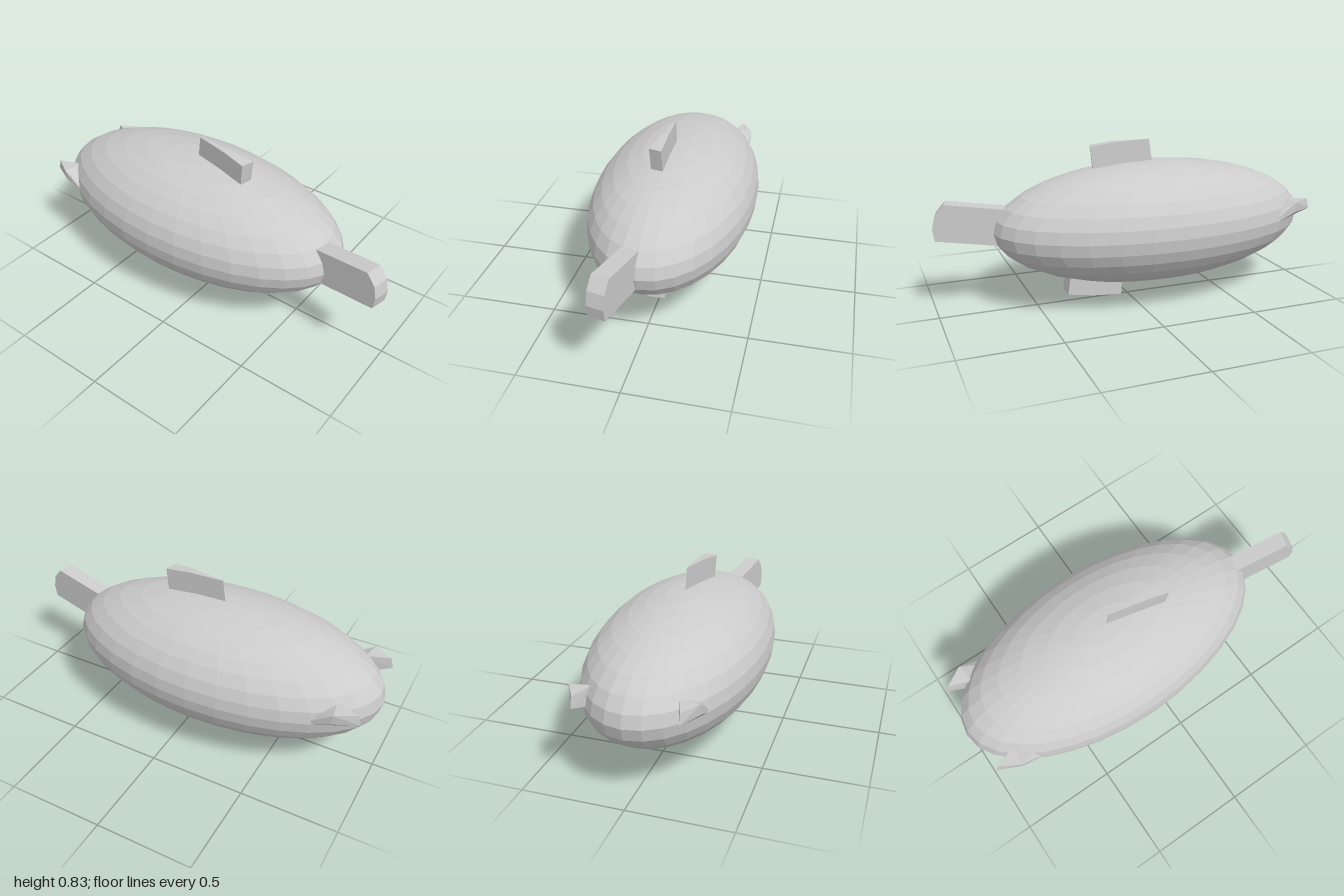
import * as THREE from 'three';
import { ConvexGeometry } from 'three/addons/geometries/ConvexGeometry.js';

export function createModel() {
  const group = new THREE.Group();
  const material = new THREE.MeshStandardMaterial({ color: 0xcccccc, flatShading: true });

  const add = (name, geometry) => {
    const mesh = new THREE.Mesh(geometry, material);
    mesh.name = name;
    group.add(mesh);
    return mesh;
  };
  // faceted solid block from its corners
  const block = (name, corners) =>
    add(name, new ConvexGeometry(corners.map((c) => new THREE.Vector3(...c))));

  // egg-shaped body
  const body = add('body', new THREE.SphereGeometry(1, 32, 16));
  body.geometry.scale(0.432, 0.315, 0.855);
  body.geometry.translate(0, 0.405, -0.145);

  // snout: side profile [z, y] swept across its width, veering to one side
  const profile = [[0.45, 0.497], [0.94, 0.565], [0.985, 0.51], [1.0, 0.443], [0.99, 0.382], [0.45, 0.307]];
  const snout = [];
  for (const [z, y] of profile) {
    const x = -0.055 - (z - 0.99) * 0.16;
    snout.push([x, y, z], [x - 0.085, y, z - 0.02]);
  }
  block('snout', snout);

  // wedge-shaped top fin, thin towards the rear
  block('topFin', [
    [-0.062, 0.66, 0.165], [0, 0.66, 0.18], [-0.07, 0.81, 0.18], [-0.004, 0.81, 0.2],
    [-0.045, 0.826, 0.06], [-0.004, 0.826, 0.06],
    [0, 0.66, -0.15], [-0.004, 0.832, -0.125], [-0.008, 0.832, -0.125],
  ]);

  // keel: cross-sections [z, half width, bottom y, top y] narrowing backwards
  const keel = [];
  for (const [z, w, low, high] of [[0.345, 0.047, 0.05, 0.16], [0.2, 0.033, 0.02, 0.16], [0.04, 0.017, 0, 0.16]]) {
    for (const s of [-1, 1]) keel.push([s * w, low, z], [s * w, high, z - 0.016]);
  }
  block('keel', keel);

  // mirrored rear side fins
  for (const s of [1, -1]) {
    block(s > 0 ? 'leftFin' : 'rightFin', [
      [0.243, 0.497, -0.95], [0.243, 0.443, -0.965],
      [0.302, 0.497, -0.85], [0.302, 0.443, -0.84],
      [0.303, 0.427, -0.75], [0.303, 0.4, -0.745],
      [0.2, 0.497, -0.83], [0.2, 0.4, -0.84],
      [0.25, 0.427, -0.7], [0.25, 0.395, -0.7],
    ].map(([x, y, z]) => [s * x, y, z]));
  }

  return group;
}
